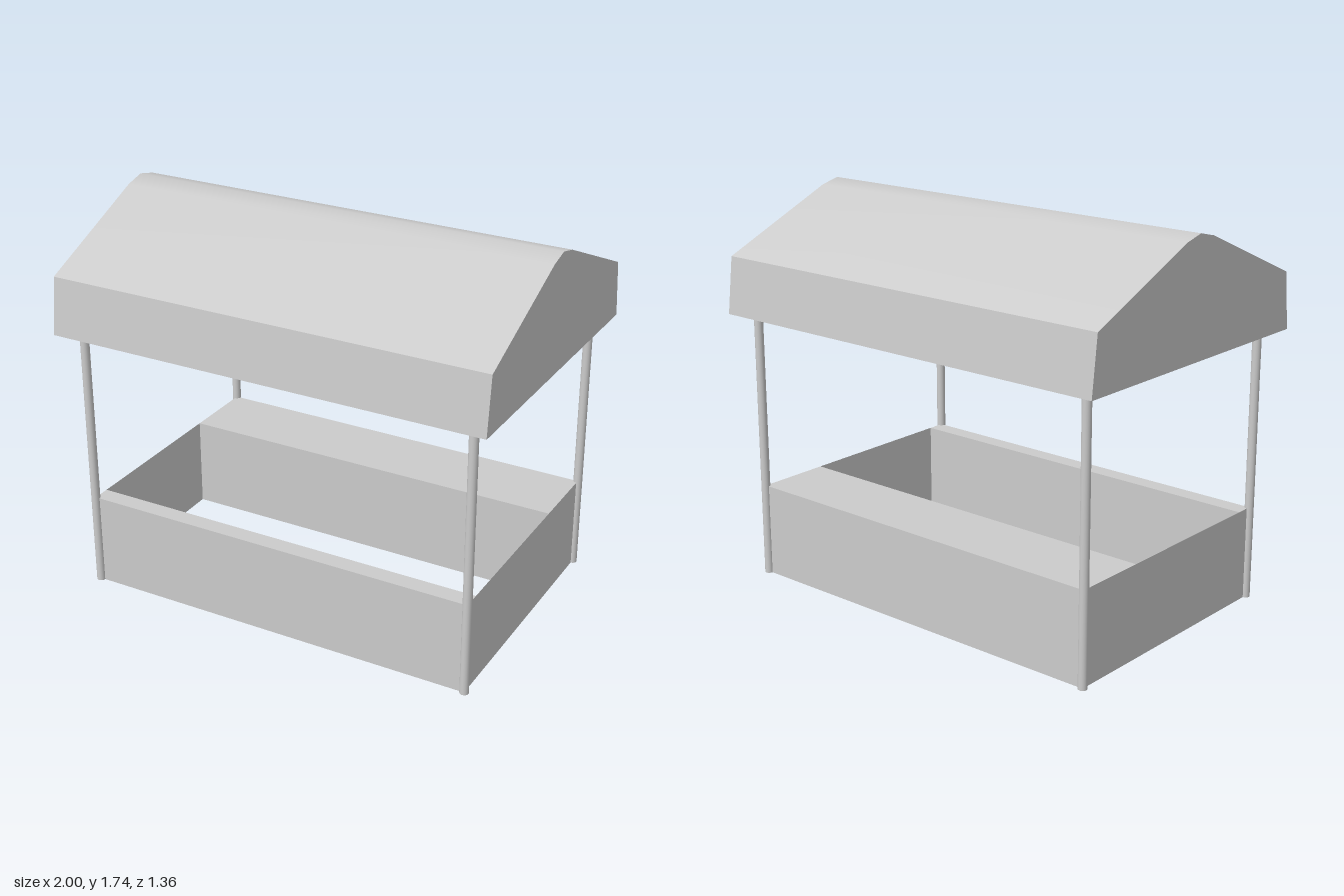
import * as THREE from 'three';
import { toCreasedNormals } from 'three/addons/utils/BufferGeometryUtils.js';

const material = new THREE.MeshStandardMaterial({ color: 0xcccccc });
const sheetMaterial = new THREE.MeshStandardMaterial({ color: 0xcccccc, side: THREE.DoubleSide });

const POST_X = 0.91, POST_Z = 0.59, WALL_H = 0.42;

function addMesh(parent, name, geometry, mat = material) {
  const mesh = new THREE.Mesh(geometry, mat);
  mesh.name = name;
  parent.add(mesh);
  return mesh;
}

// Mirror half a roof profile [z, y] (eave to ridge) into a full arch
function arch(half) {
  const other = half.slice(0, -1).reverse().map(([z, y]) => [-z, y]);
  return [...half, ...other].map(([z, y]) => new THREE.Vector2(z, y));
}

// Extrude a z-y outline along x, centred on x
function extrudeAlongX(points, length, x = 0) {
  const geo = new THREE.ExtrudeGeometry(new THREE.Shape(points), { depth: length, bevelEnabled: false });
  geo.translate(0, 0, -length / 2).rotateY(Math.PI / 2).translate(x, 0, 0);
  return toCreasedNormals(geo, 0.6);
}

function createRoof() {
  const roof = new THREE.Group();
  roof.name = 'roof';
  const t = 0.04;
  const outer = arch([[0.68, 1.223], [0.65, 1.477], [0.09, 1.718], [0, 1.74]]);
  const inner = arch([[0.64, 1.223], [0.613, 1.45], [0.083, 1.678], [0, 1.70]]);
  // Pitched cover with hanging eaves, open below
  addMesh(roof, 'roofCover', extrudeAlongX([...outer, ...inner.slice().reverse()], 2));
  // Gable ends fill the arch
  for (const side of [-1, 1]) {
    addMesh(roof, 'gable', extrudeAlongX(inner, t, side * (1 - t / 2)));
  }
  return roof;
}

// Hollow counter between two z positions, open at the bottom
function createCounter(name, z0, z1) {
  const geo = new THREE.BoxGeometry(POST_X * 2, WALL_H, z1 - z0);
  const index = Array.from(geo.index.array);
  index.splice(18, 6); // drop the bottom face
  geo.setIndex(index);
  geo.clearGroups();
  geo.translate(0, WALL_H / 2, (z0 + z1) / 2);
  const mesh = new THREE.Mesh(geo, sheetMaterial);
  mesh.name = name;
  return mesh;
}

export function createModel() {
  const stall = new THREE.Group();
  stall.name = 'marketStall';
  stall.add(createRoof());

  // Narrow front counter and deep back counter
  const frontInner = 0.51, backInner = -0.25;
  stall.add(createCounter('frontCounter', frontInner, POST_Z));
  stall.add(createCounter('backCounter', -POST_Z, backInner));

  for (const sx of [-1, 1]) {
    // Thin side panels joining the counters
    const panel = new THREE.PlaneGeometry(frontInner - backInner, WALL_H);
    panel.rotateY(sx * Math.PI / 2);
    addMesh(stall, 'sidePanel', panel, sheetMaterial)
      .position.set(sx * POST_X, WALL_H / 2, (frontInner + backInner) / 2);

    // Round corner posts reaching up inside the roof
    for (const sz of [-1, 1]) {
      const height = 1.38;
      addMesh(stall, 'post', new THREE.CylinderGeometry(0.02, 0.02, height, 16))
        .position.set(sx * POST_X, height / 2, sz * POST_Z);
    }
  }
  return stall;
}
